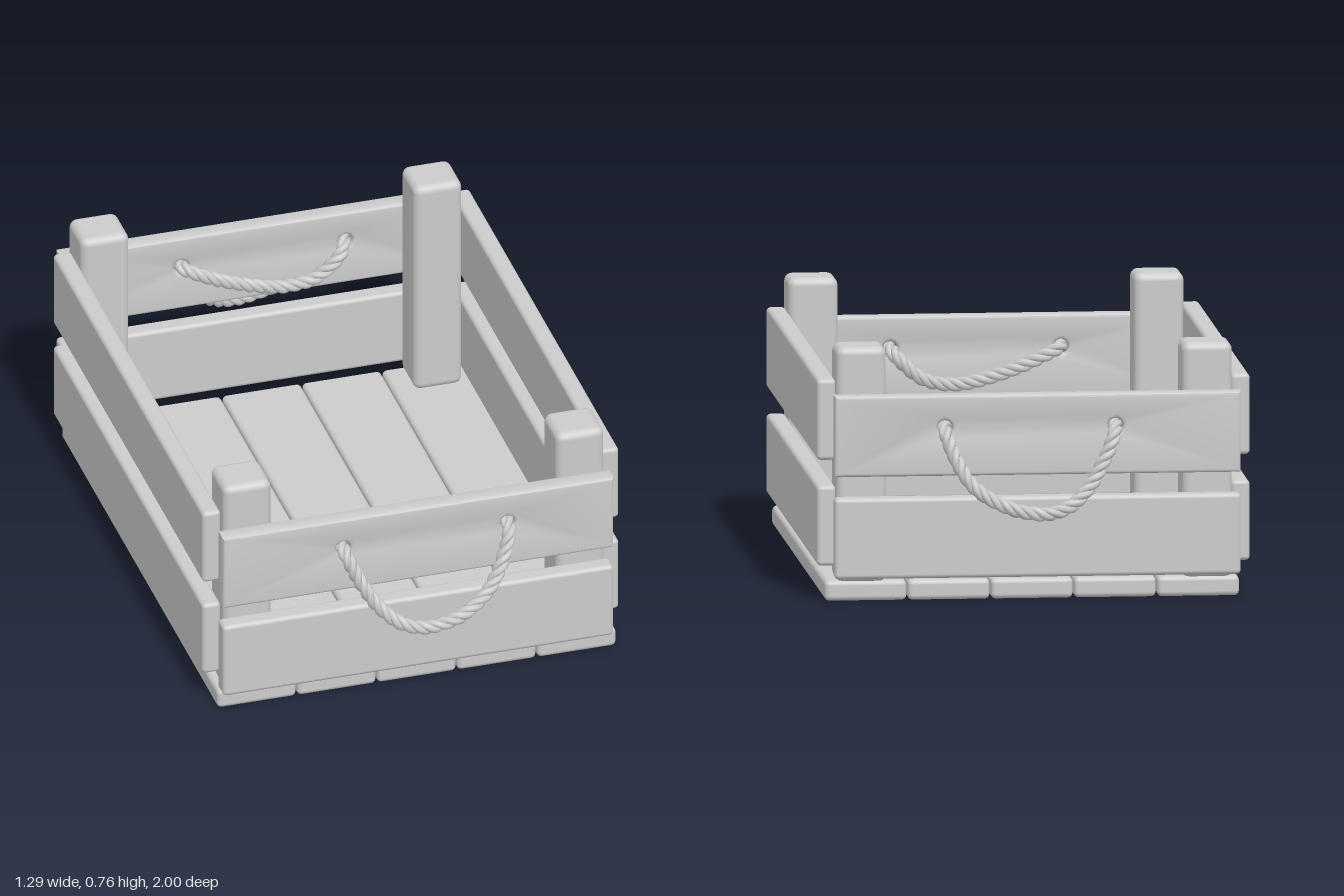
import * as THREE from 'three';
import { RoundedBoxGeometry } from 'three/addons/geometries/RoundedBoxGeometry.js';
import { toCreasedNormals } from 'three/addons/utils/BufferGeometryUtils.js';

const material = new THREE.MeshStandardMaterial({ color: 0xcccccc });
const HOLES = [[-0.24, 0.525], [0.27, 0.525]];

// Rounded timber given by its minimum and maximum corners
function timber(name, min, max, radius) {
  const size = max.map((v, i) => v - min[i]);
  const mesh = new THREE.Mesh(new RoundedBoxGeometry(...size, 3, radius), material);
  mesh.position.set(...max.map((v, i) => (v + min[i]) / 2));
  mesh.name = name;
  return mesh;
}

// End slat with bevelled edges and two drilled rope holes
function drilledSlat(name, x0, x1, y0, y1, z0, z1) {
  const bevel = 0.011;
  const shape = new THREE.Shape([[x0, y0], [x1, y0], [x1, y1], [x0, y1]].map(p => new THREE.Vector2(...p)));
  for (const [x, y] of HOLES) {
    const hole = new THREE.Path();
    hole.absarc(x, y, 0.022, 0, Math.PI * 2, true);
    shape.holes.push(hole);
  }
  const geometry = new THREE.ExtrudeGeometry(shape, {
    depth: z1 - z0 - 2 * bevel, curveSegments: 10,
    bevelThickness: bevel, bevelSize: bevel, bevelOffset: -bevel, bevelSegments: 3,
  });
  geometry.translate(0, 0, z0 + bevel);
  const mesh = new THREE.Mesh(toCreasedNormals(geometry, 0.7), material);
  mesh.name = name;
  return mesh;
}

// Closed rope loop of twisted strands; side is +1 at the front, -1 at the back
function ropeHandle(name, side) {
  const path = new THREE.CatmullRomCurve3([
    // outer sagging grip
    [-0.24, 0.525, 0.835], [-0.235, 0.505, 0.88], [-0.2, 0.425, 0.905], [-0.15, 0.345, 0.93],
    [-0.09, 0.295, 0.958], [-0.02, 0.277, 0.974], [0.09, 0.297, 0.974], [0.19, 0.355, 0.94],
    [0.245, 0.44, 0.905], [0.27, 0.51, 0.875],
    // through the hole and back along the inner face
    [0.27, 0.525, 0.835], [0.255, 0.505, 0.79], [0.18, 0.44, 0.777], [0.08, 0.42, 0.777],
    [-0.07, 0.455, 0.775], [-0.19, 0.505, 0.777], [-0.235, 0.525, 0.795],
  ].map(([x, y, z]) => new THREE.Vector3(x, y, z * side)), true);
  path.arcLengthDivisions = 600;

  const steps = 240, twists = 14, strands = 3, offset = 0.0105;
  const frames = path.computeFrenetFrames(steps, true);
  const rope = new THREE.Group();
  rope.name = name;
  for (let s = 0; s < strands; s++) {
    const points = [];
    for (let i = 0; i < steps; i++) {
      const a = (i / steps * twists + s / strands) * Math.PI * 2;
      points.push(path.getPointAt(i / steps)
        .addScaledVector(frames.normals[i], offset * Math.cos(a))
        .addScaledVector(frames.binormals[i], offset * Math.sin(a)));
    }
    const strandPath = new THREE.CatmullRomCurve3(points, true);
    strandPath.arcLengthDivisions = 960;
    const strand = new THREE.Mesh(new THREE.TubeGeometry(strandPath, 320, 0.0115, 7, true), material);
    strand.name = 'ropeStrand';
    rope.add(strand);
  }
  return rope;
}

export function createModel() {
  const crate = new THREE.Group();
  crate.name = 'crate';

  // Floor planks
  for (let i = 0; i < 5; i++) {
    const x = -0.615 + i * 0.2485;
    crate.add(timber('floorPlank', [x, 0, -0.802], [x + 0.245, 0.061, 0.81], 0.015));
  }

  // Corner posts
  for (const x of [-0.594, 0.44]) {
    for (const z of [-0.805, 0.658]) {
      crate.add(timber('cornerPost', [x, 0.055, z], [x + 0.15, 0.762, z + 0.147], 0.024));
    }
  }

  // Long side slats
  for (const [y0, y1] of [[0.102, 0.343], [0.42, 0.663]]) {
    crate.add(timber('rightSideSlat', [-0.649, y0, -0.777], [-0.592, y1, 0.768], 0.013));
    crate.add(timber('leftSideSlat', [0.588, y0, -0.777], [0.645, y1, 0.768], 0.013));
  }

  // End slats and rope handles
  for (const [end, side, z0, z1] of [['front', 1, 0.805, 0.864], ['back', -1, -0.864, -0.805]]) {
    crate.add(timber(end + 'LowerSlat', [-0.614, 0.073, z0], [0.6, 0.316, z1], 0.013));
    crate.add(drilledSlat(end + 'UpperSlat', -0.614, 0.6, 0.38, 0.623, z0, z1));
    crate.add(ropeHandle(end + 'RopeHandle', side));
  }
  return crate;
}
